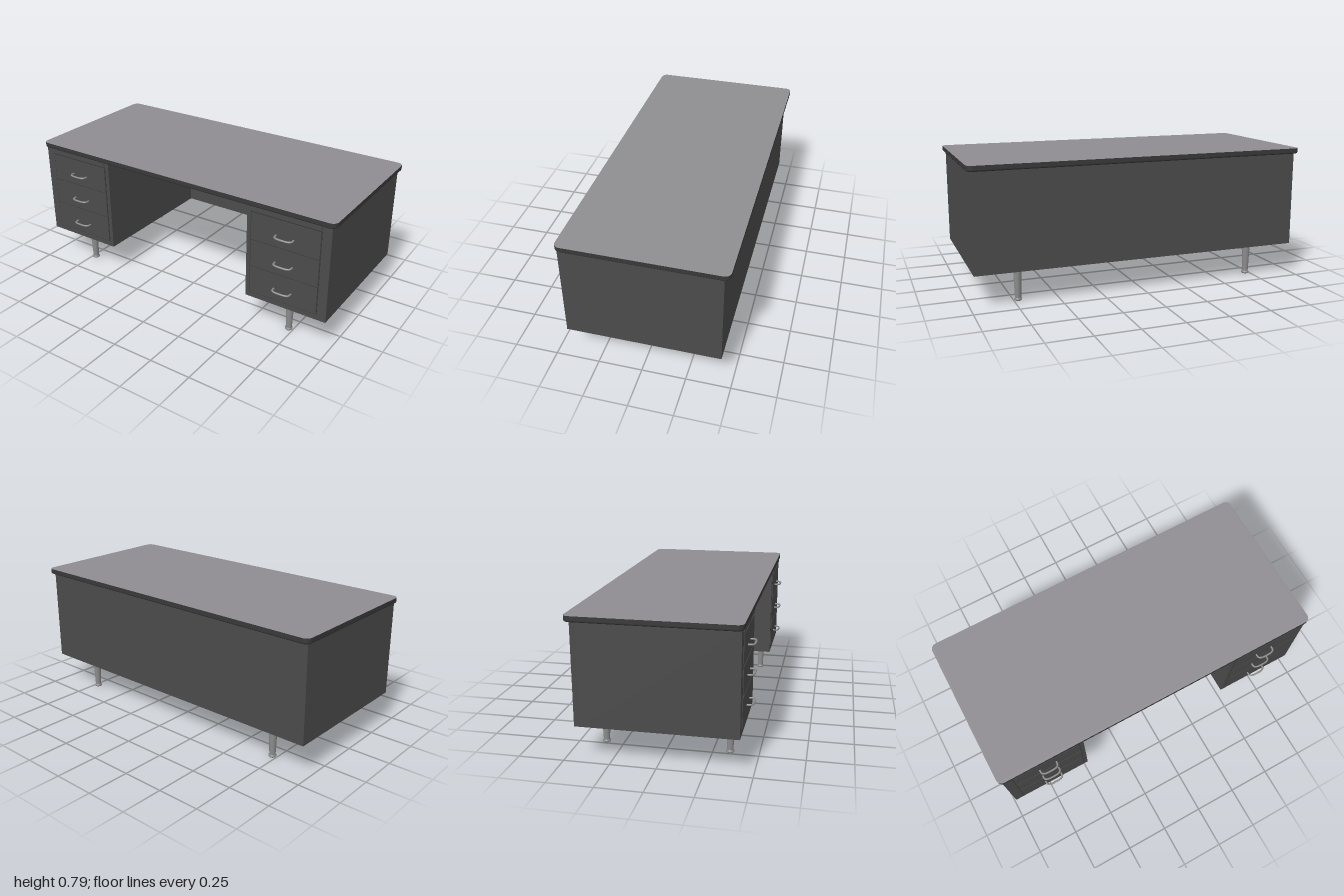
import * as THREE from 'three';

export function createModel() {
  const paint = (name, color) => {
    const m = new THREE.MeshStandardMaterial({ color });
    m.name = name;
    return m;
  };
  const body = paint('charcoal body', 0x4b4b4b);
  const trim = paint('dark trim', 0x393939);
  const laminate = paint('grey laminate', 0x8f8d91);
  const metal = paint('brushed metal', 0x8c8c8c);

  const desk = new THREE.Group();
  desk.name = 'desk';
  const add = (parent, name, geometry, material, x = 0, y = 0, z = 0) => {
    const mesh = new THREE.Mesh(geometry, material);
    mesh.name = name;
    mesh.position.set(x, y, z);
    parent.add(mesh);
    return mesh;
  };
  // Box given by its limits on each axis
  const block = (parent, name, material, x0, x1, y0, y1, z0, z1) =>
    add(parent, name, new THREE.BoxGeometry(x1 - x0, y1 - y0, z1 - z0), material,
      (x0 + x1) / 2, (y0 + y1) / 2, (z0 + z1) / 2);

  // Rounded outline of the worktop
  const outline = (hx, hz, r) => {
    const s = new THREE.Shape();
    s.absarc(hx - r, hz - r, r, 0, Math.PI / 2);
    s.absarc(-hx + r, hz - r, r, Math.PI / 2, Math.PI);
    s.absarc(-hx + r, -hz + r, r, Math.PI, Math.PI * 1.5);
    s.absarc(hx - r, -hz + r, r, Math.PI * 1.5, Math.PI * 2);
    return s;
  };

  // Worktop: dark edge rounded underneath, pale surface on top
  const zMid = -0.016;
  const slab = new THREE.ExtrudeGeometry(outline(0.99, 0.446, 0.025), {
    depth: 0.012, bevelEnabled: true, bevelSize: 0.01, bevelThickness: 0.01, bevelSegments: 4, curveSegments: 8,
  });
  slab.rotateX(-Math.PI / 2);
  add(desk, 'worktopEdge', slab, trim, 0, 0.764, zMid);
  const sheet = new THREE.ExtrudeGeometry(outline(1, 0.456, 0.035), {
    depth: 0.015, bevelEnabled: false, curveSegments: 8,
  });
  sheet.rotateX(-Math.PI / 2);
  add(desk, 'worktopSurface', sheet, [laminate, trim], 0, 0.772, zMid);

  // Full-width back panel
  block(desk, 'backPanel', body, -0.98, 0.98, 0.19, 0.757, -0.44, -0.41);

  // Bow handle and turned leg, shared by every copy
  const bow = new THREE.CatmullRomCurve3([
    [-0.052, 0], [-0.05, 0.022], [-0.036, 0.032], [0, 0.035], [0.036, 0.032], [0.05, 0.022], [0.052, 0],
  ].map(([x, z]) => new THREE.Vector3(x, 0, z)));
  const handle = new THREE.TubeGeometry(bow, 28, 0.0055, 8);
  const leg = new THREE.LatheGeometry([
    [0, 0], [0.018, 0], [0.022, 0.004], [0.022, 0.01], [0.018, 0.014],
    [0.0175, 0.018], [0.024, 0.184],
  ].map(([r, y]) => new THREE.Vector2(r, y)), 24);

  for (const side of [-1, 1]) {
    const pedestal = new THREE.Group();
    pedestal.name = side > 0 ? 'leftPedestal' : 'rightPedestal';
    desk.add(pedestal);
    const cx = 0.718 * side;
    const span = (name, mat, w, y0, y1, z0, z1) =>
      block(pedestal, name, mat, cx - w / 2, cx + w / 2, y0, y1, z0, z1);

    block(pedestal, 'cabinet', body, Math.min(0.485 * side, 0.98 * side),
      Math.max(0.485 * side, 0.98 * side), 0.19, 0.757, -0.41, 0.428);

    // Shadow gap, three drawers with handles, and the pull-out tray
    span('drawerGap', trim, 0.418, 0.222, 0.724, 0.426, 0.4295);
    [[0.226, 0.387, 0.296], [0.393, 0.551, 0.461], [0.557, 0.718, 0.624]].forEach(([y0, y1, hy]) => {
      span('drawerFront', body, 0.408, y0, y1, 0.42, 0.4325);
      add(pedestal, 'drawerHandle', handle, metal, cx, hy, 0.432);
    });
    span('pullOutTray', body, 0.41, 0.733, 0.755, 0.40, 0.435);

    // Legs under square mounting plates
    for (const z of [0.343, -0.35]) {
      add(pedestal, 'leg', leg, metal, 0.725 * side, 0, z);
      block(pedestal, 'legPlate', trim, 0.725 * side - 0.045, 0.725 * side + 0.045,
        0.183, 0.191, z - 0.045, z + 0.045);
    }
  }
  return desk;
}
